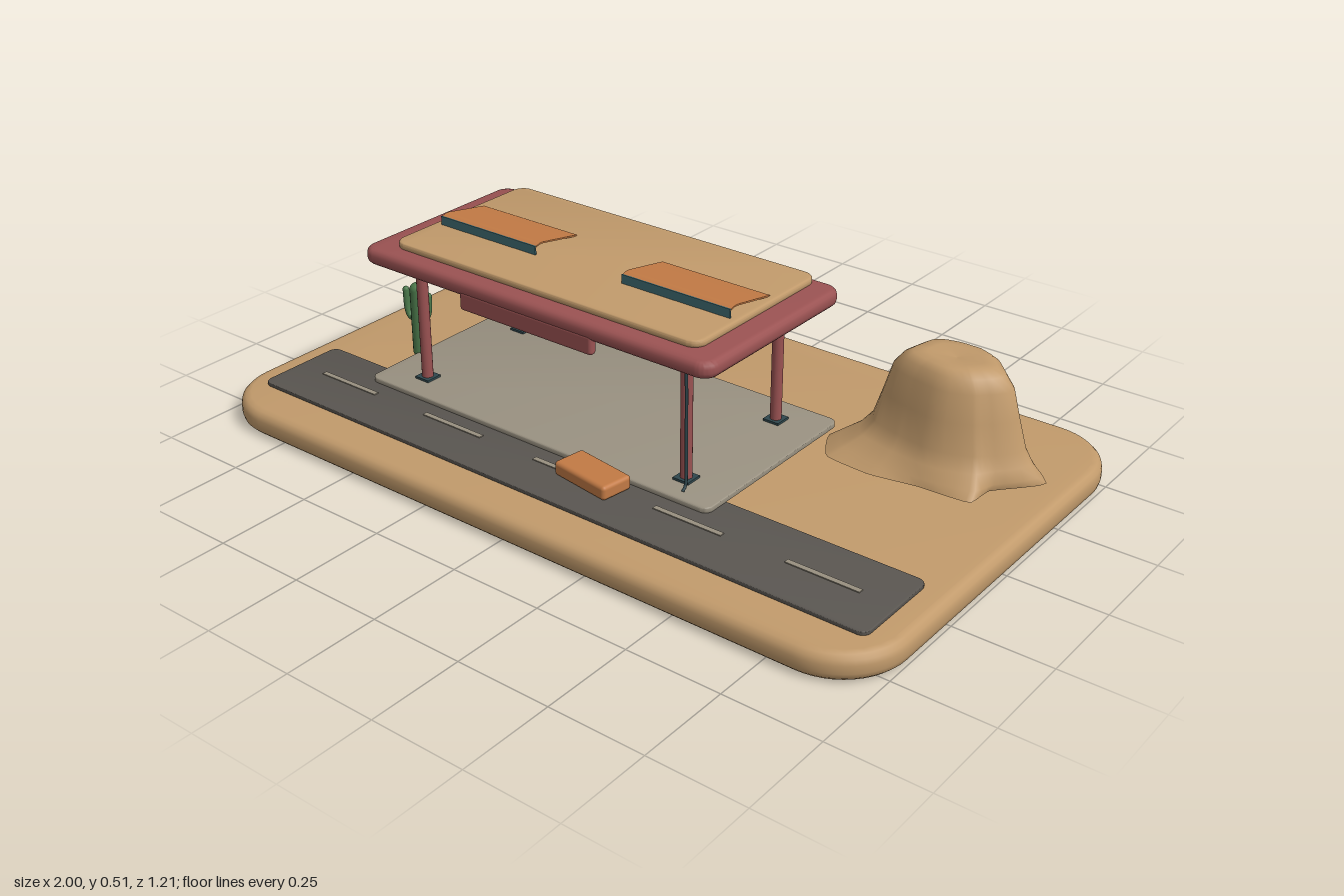
import * as THREE from 'three';
import { toCreasedNormals } from 'three/addons/utils/BufferGeometryUtils.js';
import { RoundedBoxGeometry } from 'three/addons/geometries/RoundedBoxGeometry.js';

const V = (x, y, z) => new THREE.Vector3(x, y, z);

function material(name, color, side = THREE.FrontSide) {
  const m = new THREE.MeshStandardMaterial({ color, side });
  m.name = name;
  return m;
}

// Flat slab with rounded corners (r) and softened rims (b)
function slabGeometry([x0, x1], [y0, y1], [z0, z1], r, b) {
  const w = (x1 - x0) / 2 - b, d = (z1 - z0) / 2 - b;
  const s = new THREE.Shape();
  s.moveTo(w, -d + r);
  s.absarc(w - r, d - r, r, 0, Math.PI / 2);
  s.absarc(-w + r, d - r, r, Math.PI / 2, Math.PI);
  s.absarc(-w + r, -d + r, r, Math.PI, Math.PI * 1.5);
  s.absarc(w - r, -d + r, r, Math.PI * 1.5, Math.PI * 2);
  const g = new THREE.ExtrudeGeometry(s, {
    depth: y1 - y0 - 2 * b, curveSegments: 6, bevelEnabled: true,
    bevelSize: b, bevelThickness: b, bevelSegments: 3,
  });
  g.rotateX(-Math.PI / 2);
  g.translate((x0 + x1) / 2, y0 + b, (z0 + z1) / 2);
  return toCreasedNormals(g, 0.6);
}

// Mesa lofted from a ragged foot outline up to an oval plateau
function mesaGeometry() {
  const cx = 0.685, cz = -0.277, n = 40;
  const foot = [[0.396, -0.187], [0.45, -0.09], [0.58, -0.078], [0.70, -0.10], [0.835, -0.11], [0.845, -0.187],
    [0.936, -0.30], [0.786, -0.38], [0.63, -0.46], [0.49, -0.417], [0.46, -0.32]];
  const outline = new THREE.CatmullRomCurve3(foot.map(([x, z]) => V(x - cx, 0, z - cz)), true, 'catmullrom', 0.2);
  // height, x radius, z radius, share of the foot outline
  const rings = [[0.078, 0.27, 0.18, 1], [0.097, 0.22, 0.155, 0.62], [0.125, 0.195, 0.135, 0.3], [0.16, 0.18, 0.12, 0.15],
    [0.235, 0.157, 0.108, 0.12], [0.305, 0.138, 0.093, 0.1], [0.336, 0.115, 0.08, 0.08], [0.351, 0.09, 0.062, 0.08],
    [0.353, 0.06, 0.04, 0.05], [0.345, 0, 0, 0]];
  const pos = [], idx = [];
  rings.forEach(([y, rx, rz, k], j) => {
    for (let i = 0; i < n; i++) {
      const p = outline.getPoint(i / n), a = Math.atan2(p.z, p.x);
      const flute = 1 + 0.04 * Math.sin(5 * a + 1);
      pos.push(cx + p.x * k + rx * Math.cos(a) * flute * (1 - k), y,
        cz + p.z * k + rz * Math.sin(a) * flute * (1 - k));
      if (j) {
        const q = (i + 1) % n, a0 = (j - 1) * n + i, b0 = (j - 1) * n + q, a1 = j * n + i, b1 = j * n + q;
        idx.push(a0, b0, a1, b0, b1, a1);
      }
    }
  });
  const g = new THREE.BufferGeometry();
  g.setAttribute('position', new THREE.Float32BufferAttribute(pos, 3));
  g.setIndex(idx);
  g.computeVertexNormals();
  return g;
}

export function createModel() {
  const model = new THREE.Group();
  model.name = 'desertStation';
  const sand = material('sand', 0xc19a6b);
  const mesaSand = material('mesaSand', 0xc19a6b, THREE.DoubleSide);
  const red = material('dustyRed', 0x9a5252);
  const orange = material('copperOrange', 0xc27a45, THREE.DoubleSide);
  const asphalt = material('asphalt', 0x595550);
  const concrete = material('concrete', 0x989080);
  const green = material('cactusGreen', 0x4c7a4c);
  const teal = material('teal', 0x3f6a72, THREE.DoubleSide);
  const steel = material('darkSteel', 0x2f474d);

  const add = (name, geometry, mat, parent = model) => {
    const m = new THREE.Mesh(geometry, mat);
    m.name = name;
    parent.add(m);
    return m;
  };

  // Ground, road and pad
  add('ground', slabGeometry([-1, 1], [0, 0.07], [-0.605, 0.605], 0.15, 0.025), sand);
  add('road', slabGeometry([-0.93, 0.93], [0.07, 0.081], [0.237, 0.49], 0.02, 0.003), asphalt);
  for (let i = -2; i <= 2; i++) {
    add('laneDash', new THREE.BoxGeometry(0.195, 0.003, 0.014), concrete).position.set(i * 0.37, 0.082, 0.362);
  }
  add('pad', slabGeometry([-0.71, 0.39], [0.08, 0.095], [-0.235, 0.315], 0.02, 0.003), concrete);

  // Columns on foot plates
  for (const x of [-0.585, 0.265]) {
    for (const z of [0.23, -0.14]) {
      add('column', new THREE.CylinderGeometry(0.015, 0.015, 0.335, 16), red).position.set(x, 0.262, z);
      add('footPlate', new THREE.BoxGeometry(0.046, 0.006, 0.046), steel).position.set(x, 0.098, z);
    }
  }

  // Canopy roof with hanging blank board
  add('roofFrame', slabGeometry([-0.71, 0.39], [0.421, 0.464], [-0.23, 0.318], 0.025, 0.016), red);
  add('roofDeck', slabGeometry([-0.642, 0.322], [0.462, 0.481], [-0.219, 0.267], 0.03, 0.006), sand);
  add('hangingBoard', new RoundedBoxGeometry(0.42, 0.052, 0.023, 3, 0.009), red).position.set(-0.16, 0.41, 0.306);

  // Rain pipe
  const pipe = new THREE.CatmullRomCurve3([V(0.285, 0.43, 0.277), V(0.298, 0.415, 0.277), V(0.3, 0.26, 0.277),
    V(0.3, 0.12, 0.277), V(0.3, 0.1, 0.29)], false, 'catmullrom', 0.3);
  add('rainPipe', new THREE.TubeGeometry(pipe, 30, 0.004, 8), steel);

  // Roof lights: curved sheet over an upright pane
  const sheet = new THREE.Shape();
  sheet.moveTo(-0.045, 0.479);
  sheet.lineTo(0.085, 0.503);
  sheet.quadraticCurveTo(0.105, 0.505, 0.113, 0.498);
  sheet.lineTo(0.113, 0.502);
  sheet.quadraticCurveTo(0.1, 0.509, 0.085, 0.507);
  sheet.lineTo(-0.045, 0.483);
  for (const x of [-0.458, 0.14]) {
    const light = new THREE.Group();
    light.name = 'roofLight';
    light.position.x = x;
    model.add(light);
    const g = new THREE.ExtrudeGeometry(sheet, { depth: 0.322, bevelEnabled: false });
    g.translate(0, 0, -0.161);
    g.rotateY(-Math.PI / 2);
    add('lightCover', toCreasedNormals(g, 0.6), orange, light);
    add('lightPane', new THREE.BoxGeometry(0.322, 0.026, 0.004), teal, light).position.set(0, 0.4915, 0.113);
  }

  // Parked block on the road
  const block = add('parkedBlock', new RoundedBoxGeometry(0.178, 0.038, 0.09, 3, 0.01), orange);
  block.position.set(0.085, 0.1, 0.36);
  block.rotation.y = -0.15;

  // Cactus
  const cactus = new THREE.Group();
  cactus.name = 'cactus';
  cactus.position.set(-0.717, 0, 0.123);
  model.add(cactus);
  add('trunk', new THREE.CapsuleGeometry(0.02, 0.18, 8, 16), green, cactus).position.y = 0.183;
  for (const [s, y, top] of [[-1, 0.182, 0.262], [1, 0.195, 0.265]]) {
    const arm = new THREE.CatmullRomCurve3([V(0, y, 0), V(s * 0.03, y + 0.006, 0), V(s * 0.039, y + 0.025, 0),
      V(s * 0.042, top, 0)]);
    add('arm', new THREE.TubeGeometry(arm, 16, 0.009, 10), green, cactus);
    add('armTip', new THREE.SphereGeometry(0.009, 10, 8), green, cactus).position.set(s * 0.042, top, 0);
  }

  add('mesa', mesaGeometry(), mesaSand);
  // Loft winds upward from the foot; turn every face outward
  const mesa = model.getObjectByName('mesa').geometry;
  const ids = mesa.index.array;
  const p = mesa.attributes.position;
  const [a, b, c] = [0, 1, 2].map((i) => V().fromBufferAttribute(p, ids[i]));
  const normal = b.clone().sub(a).cross(c.clone().sub(a));
  if (normal.y < 0) {
    for (let i = 0; i < ids.length; i += 3) [ids[i], ids[i + 1]] = [ids[i + 1], ids[i]];
    mesa.computeVertexNormals();
  }
  return model;
}
